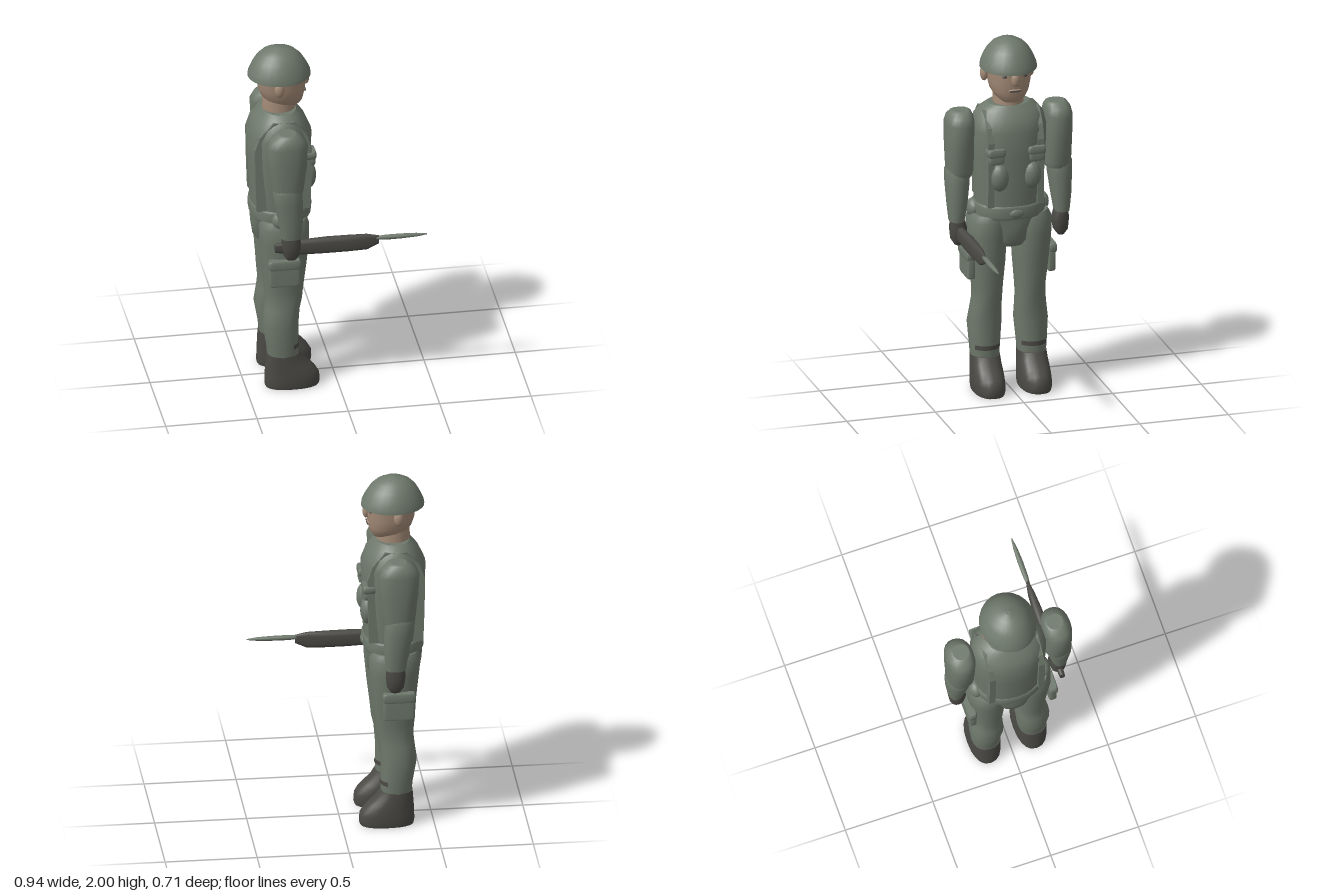
import * as THREE from 'three';

const mat = (name, color) => Object.assign(new THREE.MeshStandardMaterial({ color }), { name });

// Stack of rounded rings, each [y, centreX, centreZ, radiusX, radiusZ], capped at both ends.
function loft(rings, power = 2, n = 20) {
  const pos = [], index = [];
  const ring = ([y, cx, cz, rx, rz]) => {
    for (let j = 0; j < n; j++) {
      const a = (j / n) * Math.PI * 2, c = Math.cos(a), s = Math.sin(a);
      pos.push(cx + rx * Math.sign(c) * Math.abs(c) ** (2 / power), y,
        cz + rz * Math.sign(s) * Math.abs(s) ** (2 / power));
    }
  };
  rings.forEach(ring);
  for (let i = 0; i < rings.length - 1; i++) {
    for (let j = 0; j < n; j++) {
      const a = i * n + j, b = i * n + (j + 1) % n;
      index.push(a, a + n, b, b, a + n, b + n);
    }
  }
  [rings[0], rings[rings.length - 1]].forEach((r, top) => {
    const start = pos.length / 3;
    ring(r);
    pos.push(r[1], r[0], r[2]);
    for (let j = 0; j < n; j++) {
      const a = start + j, b = start + (j + 1) % n;
      index.push(start + n, top ? b : a, top ? a : b);
    }
  });
  const g = new THREE.BufferGeometry();
  g.setAttribute('position', new THREE.Float32BufferAttribute(pos, 3));
  g.setIndex(index);
  g.computeVertexNormals();
  return g;
}

export function createModel() {
  const model = new THREE.Group();
  const cloth = mat('fieldGreen', 0x6f796c);
  const skin = mat('skin', 0xa58c78);
  const dark = mat('darkLeather', 0x4b4a46);

  const add = (name, geometry, material, x = 0, y = 0, z = 0) => {
    const m = new THREE.Mesh(geometry, material);
    m.name = name;
    m.position.set(x, y, z);
    model.add(m);
    return m;
  };
  const ball = (name, material, x, y, z, rx, ry, rz) =>
    add(name, new THREE.SphereGeometry(1, 14, 10), material, x, y, z).scale.set(rx, ry, rz);
  // Soft-edged pouch
  const pouch = (name, x0, x1, y0, y1, z0, z1) => {
    const cx = (x0 + x1) / 2, cz = (z0 + z1) / 2, rx = (x1 - x0) / 2, rz = (z1 - z0) / 2;
    add(name, loft([[y0, cx, cz, rx * 0.9, rz * 0.85], [y0 + 0.012, cx, cz, rx, rz],
      [y1 - 0.012, cx, cz, rx, rz], [y1, cx, cz, rx * 0.9, rz * 0.85]], 6, 24), cloth);
  };

  // Helmet
  add('helmet', loft([
    [1.835, -0.293, 0, 0.172, 0.155], [1.86, -0.293, 0, 0.168, 0.152],
    [1.90, -0.294, 0, 0.150, 0.137], [1.94, -0.295, 0, 0.126, 0.114],
    [1.97, -0.296, 0, 0.095, 0.086], [1.99, -0.297, 0, 0.056, 0.05],
    [2.0, -0.297, 0, 0.012, 0.012]], 2, 24), cloth);

  // Head and neck
  add('head', loft([
    [1.66, -0.255, 0, 0.07, 0.055], [1.685, -0.265, 0, 0.097, 0.083],
    [1.72, -0.277, 0, 0.117, 0.104], [1.77, -0.282, 0, 0.129, 0.115],
    [1.84, -0.285, 0, 0.134, 0.122]], 2.2), skin);
  add('neck', loft([[1.58, -0.295, 0, 0.092, 0.085], [1.76, -0.295, 0, 0.09, 0.08]]), skin);
  ball('nose', skin, -0.148, 1.803, 0, 0.02, 0.042, 0.025);
  ball('lips', skin, -0.168, 1.735, 0, 0.016, 0.014, 0.04);
  add('mouthLine', new THREE.BoxGeometry(0.008, 0.006, 0.06), dark, -0.154, 1.735, 0);

  // Torso
  add('torso', loft([
    [1.06, -0.293, 0, 0.158, 0.185], [1.2, -0.293, 0, 0.165, 0.193],
    [1.35, -0.295, 0, 0.171, 0.203], [1.5, -0.295, 0, 0.174, 0.207],
    [1.57, -0.294, 0, 0.143, 0.192], [1.61, -0.293, 0, 0.112, 0.16],
    [1.637, -0.293, 0, 0.09, 0.115]], 2.2, 28), cloth);

  // Belt, buckle and pelvis
  add('belt', loft([
    [1.005, -0.292, 0, 0.16, 0.19], [1.018, -0.292, 0, 0.167, 0.197],
    [1.07, -0.292, 0, 0.167, 0.197], [1.08, -0.292, 0, 0.16, 0.19]], 2.3, 28), cloth);
  ball('buckle', cloth, -0.13, 1.04, 0, 0.013, 0.026, 0.04);
  add('pelvis', loft([
    [0.835, -0.295, 0, 0.11, 0.075], [0.87, -0.297, 0, 0.142, 0.1],
    [0.94, -0.299, 0, 0.151, 0.112], [1.02, -0.297, 0, 0.153, 0.18]], 2.6, 24), cloth);

  // Shoulder strap outline, front to back over the shoulder
  const strap = new THREE.Shape([
    [-0.148, 1.08], [-0.143, 1.25], [-0.14, 1.45], [-0.165, 1.53], [-0.235, 1.612],
    [-0.35, 1.612], [-0.425, 1.53], [-0.452, 1.45], [-0.448, 1.25], [-0.442, 1.08],
  ].map(([x, y]) => new THREE.Vector2(x, y)));

  for (const s of [1, -1]) {
    const side = s > 0 ? 'left' : 'right';
    const span = (a, b) => (s > 0 ? [a, b] : [-b, -a]);
    const limb = (part, rings, material, power = 2) =>
      add(side + part, loft(rings.map(([y, x, z, rx, rz]) => [y, x, z * s, rx, rz]), power), material);

    // Face
    ball(side + 'Ear', skin, -0.312, 1.803, 0.13 * s, 0.028, 0.045, 0.022);
    ball(side + 'Eye', dark, -0.166, 1.818, 0.055 * s, 0.008, 0.008, 0.016);

    // Arm
    limb('UpperArm', [
      [1.24, -0.293, 0.275, 0.075, 0.066], [1.27, -0.293, 0.275, 0.085, 0.074],
      [1.42, -0.295, 0.277, 0.106, 0.077], [1.54, -0.295, 0.276, 0.112, 0.079],
      [1.58, -0.295, 0.274, 0.09, 0.072], [1.605, -0.293, 0.27, 0.062, 0.058],
      [1.612, -0.293, 0.268, 0.045, 0.045]], cloth, 2.3);
    limb('Forearm', [
      [0.985, -0.277, 0.296, 0.055, 0.042], [1.08, -0.28, 0.293, 0.067, 0.055],
      [1.2, -0.292, 0.289, 0.079, 0.066], [1.27, -0.298, 0.287, 0.08, 0.069],
      [1.295, -0.298, 0.285, 0.066, 0.06]], cloth, 2.2);
    limb('Glove', [
      [0.848, -0.275, 0.29, 0.025, 0.018], [0.88, -0.275, 0.289, 0.046, 0.04],
      [0.94, -0.277, 0.287, 0.054, 0.048], [1.0, -0.277, 0.294, 0.048, 0.036]], dark, 2.3);

    // Leg
    limb('Leg', [
      [0.18, -0.297, 0.132, 0.083, 0.077], [0.26, -0.3, 0.132, 0.088, 0.083],
      [0.38, -0.31, 0.131, 0.099, 0.092], [0.47, -0.3, 0.126, 0.097, 0.084],
      [0.53, -0.29, 0.122, 0.101, 0.08], [0.6, -0.29, 0.121, 0.108, 0.083],
      [0.75, -0.286, 0.123, 0.122, 0.098], [0.9, -0.287, 0.127, 0.137, 0.107],
      [0.98, -0.289, 0.127, 0.138, 0.105], [1.02, -0.29, 0.122, 0.125, 0.09]], cloth, 2.2);
    limb('Boot', [
      [0, -0.246, 0.131, 0.146, 0.08], [0.02, -0.245, 0.131, 0.151, 0.085],
      [0.06, -0.246, 0.131, 0.149, 0.086], [0.09, -0.254, 0.131, 0.14, 0.085],
      [0.125, -0.269, 0.131, 0.122, 0.083], [0.16, -0.287, 0.131, 0.102, 0.081],
      [0.2, -0.297, 0.131, 0.088, 0.079]], dark, 2.4);
    // Thin band across the front of the shin
    const band = new THREE.CylinderGeometry(1, 1, 0.025, 12, 1, true, Math.PI * 0.2, Math.PI * 0.6);
    const cuff = add(side + 'ShinBand', band, dark, -0.299, 0.253, 0.132 * s);
    cuff.scale.set(0.091, 1, 0.086);

    // Cargo pocket with flap
    pouch(side + 'CargoPocket', -0.388, -0.216, 0.655, 0.8, ...span(0.205, 0.25));
    pouch(side + 'PocketFlap', -0.393, -0.212, 0.76, 0.812, ...span(0.205, 0.257));
    // Hip pouch on the belt
    ball(side + 'HipPouch', cloth, -0.31, 1.035, 0.192 * s, 0.055, 0.055, 0.04);

    // Strap, chest pouch and grenade
    const web = new THREE.ExtrudeGeometry(strap, { depth: 0.035, bevelEnabled: false });
    add(side + 'Strap', web, cloth, 0, 0, s > 0 ? 0.122 : -0.157);
    pouch(side + 'ChestPouch', -0.19, -0.118, 1.335, 1.385, ...span(0.07, 0.157));
    pouch(side + 'ChestPouchFlap', -0.19, -0.113, 1.375, 1.418, ...span(0.062, 0.165));
    ball(side + 'Grenade', cloth, -0.15, 1.25, 0.09 * s, 0.044, 0.078, 0.052);
  }

  // Long weapon, lofted upright and laid along x
  const lying = (name, rings, material, power) =>
    add(name, loft(rings, power, 16).rotateZ(-Math.PI / 2), material);
  lying('weaponBody', [
    [-0.365, -0.92, 0.287, 0.025, 0.014], [-0.24, -0.915, 0.286, 0.042, 0.022],
    [-0.08, -0.915, 0.283, 0.046, 0.027], [0.04, -0.914, 0.283, 0.046, 0.025],
    [0.14, -0.914, 0.283, 0.045, 0.018], [0.205, -0.922, 0.284, 0.024, 0.007]], dark, 3);
  lying('weaponBlade', [
    [0.18, -0.932, 0.285, 0.009, 0.008], [0.24, -0.932, 0.285, 0.014, 0.014],
    [0.33, -0.932, 0.285, 0.013, 0.015], [0.41, -0.932, 0.285, 0.01, 0.011],
    [0.467, -0.932, 0.285, 0.003, 0.003]], cloth, 2);

  return model;
}
